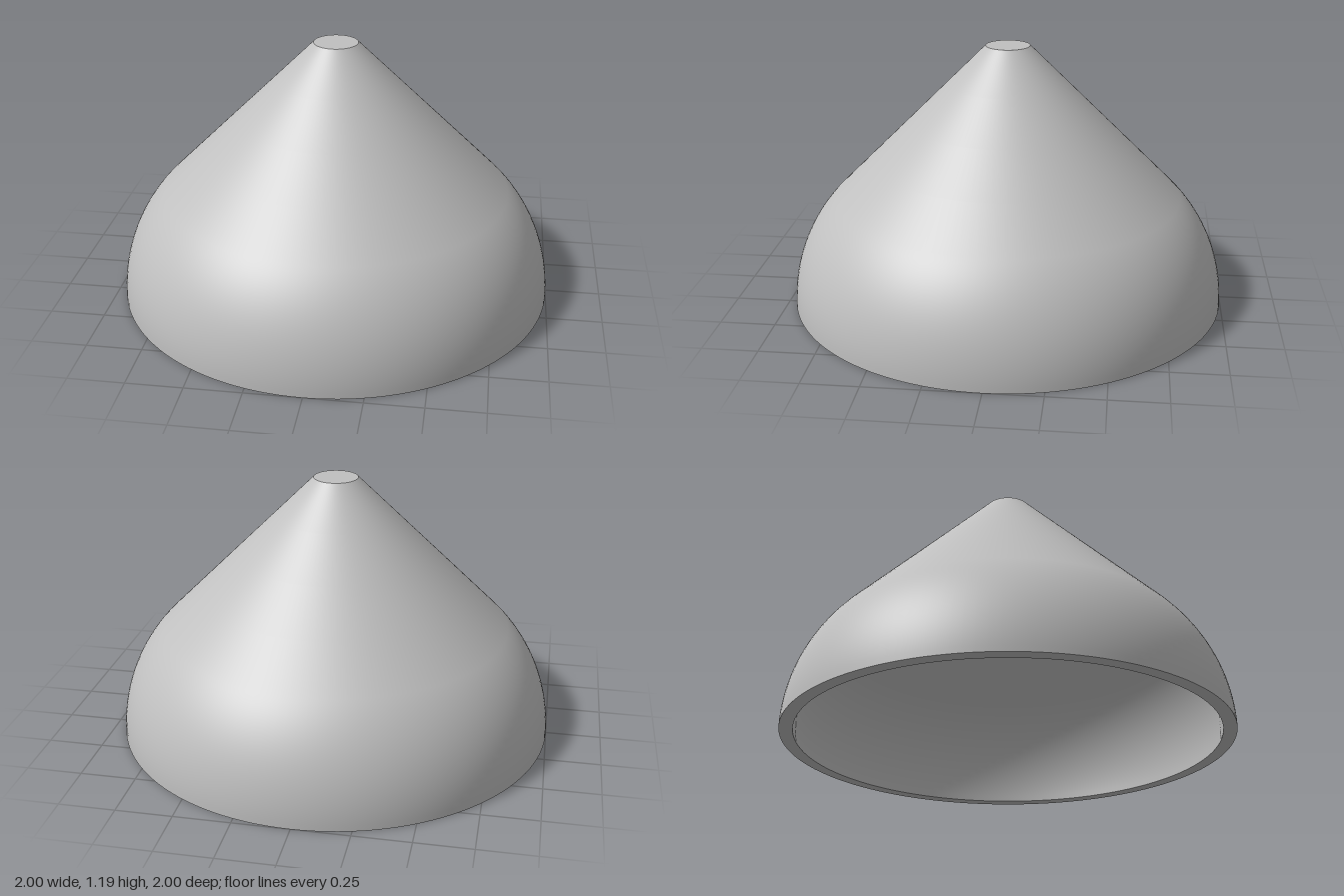
import * as THREE from 'three';

const SEGMENTS = 128;

// Profile from the rim up: a round shoulder running tangentially into a 45 degree cone
function shellProfile(radius, topY) {
  const centreX = 0.3;
  const points = [];
  for (let i = 0; i <= 20; i++) {
    const a = (i / 20) * (Math.PI / 4);
    points.push(new THREE.Vector2(centreX + radius * Math.cos(a), radius * Math.sin(a)));
  }
  const end = points[points.length - 1];
  const tip = new THREE.Vector2(end.x + end.y - topY, topY);
  for (let i = 1; i <= 4; i++) points.push(end.clone().lerp(tip, i / 4));
  return points;
}

export function createModel() {
  const group = new THREE.Group();
  group.name = 'conicalShell';
  const grey = new THREE.MeshStandardMaterial({ color: 0xc0c0c0 });
  grey.name = 'light grey';

  const outer = shellProfile(0.7, 1.19);
  const inner = shellProfile(0.64, 1.13);
  const last = (points) => points[points.length - 1];

  function addLathe(name, points) {
    const mesh = new THREE.Mesh(new THREE.LatheGeometry(points, SEGMENTS), grey);
    mesh.name = name;
    group.add(mesh);
  }

  function addDisc(name, edge, facing) {
    const mesh = new THREE.Mesh(new THREE.CircleGeometry(edge.x, SEGMENTS), grey);
    mesh.rotation.x = -facing * Math.PI / 2;
    mesh.position.y = edge.y;
    mesh.name = name;
    group.add(mesh);
  }

  // Walls, with the inner one running downward so it faces the hollow
  addLathe('outerWall', outer);
  addLathe('innerWall', [...inner].reverse());

  // Flat ring under the wall
  addLathe('bottomRim', [inner[0], outer[0]]);

  // Flat top and the ceiling of the hollow
  addDisc('flatTop', last(outer), 1);
  addDisc('innerCeiling', last(inner), -1);

  return group;
}
